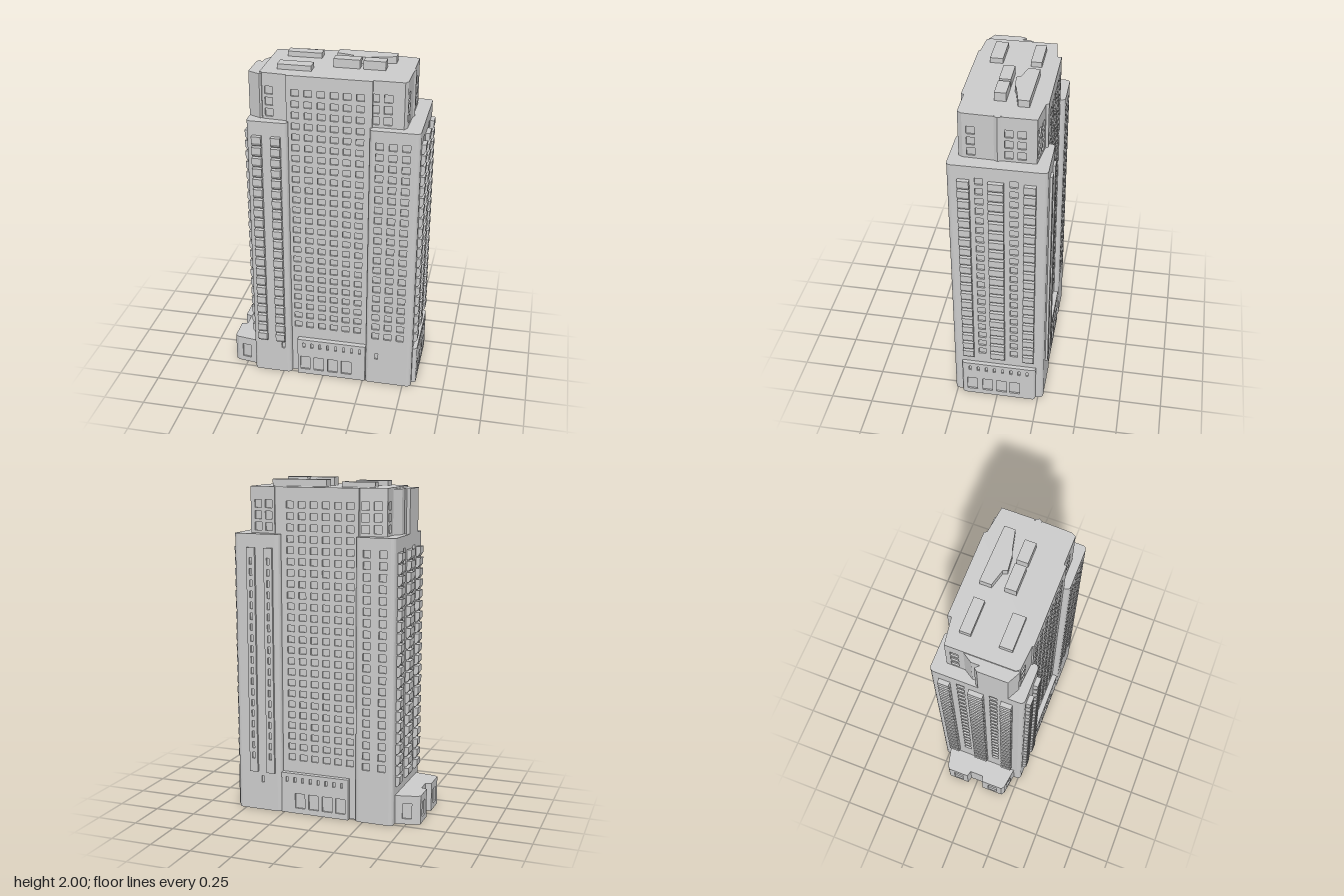
import * as THREE from 'three';
import { mergeGeometries } from 'three/addons/utils/BufferGeometryUtils.js';

const material = new THREE.MeshStandardMaterial({ color: 0xcccccc });
const INSET = 0.01; // window recess depth
const FLOOR = 0.0655; // storey height
const rows = (first, count) => Array.from({ length: count }, (_, i) => first + i * FLOOR);

// openings at every column (world x or z) and row of one side
const grid = (side, columns, ys, w = 0.044, h = 0.042) =>
  columns.flatMap((at) => ys.map((y) => ({ side, at, y, w, h })));

function rectPath(x0, x1, y0, y1, target) {
  target.moveTo(x0, y0);
  target.lineTo(x1, y0);
  target.lineTo(x1, y1);
  target.lineTo(x0, y1);
  target.closePath();
  return target;
}

// solid plan outline [x, z], raised from y0 to y1
function slab(points, y0, y1) {
  const shape = new THREE.Shape(points.map(([x, z]) => new THREE.Vector2(x, -z)));
  return new THREE.ExtrudeGeometry(shape, { depth: y1 - y0, bevelEnabled: false })
    .rotateX(-Math.PI / 2).translate(0, y0, 0);
}

// one wall panel from p to q, pierced by the openings that fall on it
function wall(p, q, y0, y1, openings) {
  const dx = q[0] - p[0], dz = q[1] - p[1], length = Math.hypot(dx, dz);
  const alongX = Math.abs(dx) > Math.abs(dz);
  const side = alongX ? (dx > 0 ? 'front' : 'back') : (dz < 0 ? 'right' : 'left');
  const axis = alongX ? 0 : 1;
  const shape = rectPath(0, length, y0, y1, new THREE.Shape());
  for (const o of openings) {
    const u = ((o.at - p[axis]) / (q[axis] - p[axis])) * length;
    if (o.side !== side || u - o.w / 2 < 0.002 || u + o.w / 2 > length - 0.002) continue;
    shape.holes.push(rectPath(u - o.w / 2, u + o.w / 2, o.y - o.h / 2, o.y + o.h / 2, new THREE.Path()));
  }
  return new THREE.ExtrudeGeometry(shape, { depth: 0.018, bevelEnabled: false })
    .translate(0, 0, -0.018).rotateY(Math.atan2(-dz, dx)).translate(p[0], 0, p[1]);
}

// a storey block: inset core plus wall panels round its outline
function block(name, points, y0, y1, openings = []) {
  const box = new THREE.Box2().setFromPoints(points.map((p) => new THREE.Vector2(...p)));
  const c = box.getCenter(new THREE.Vector2()), s = box.getSize(new THREE.Vector2());
  const core = points.map(([x, z]) => [
    c.x + (x - c.x) * (1 - 2 * INSET / s.x), c.y + (z - c.y) * (1 - 2 * INSET / s.y)]);
  const parts = [slab(core, y0, y1)];
  points.forEach((p, i) => parts.push(wall(p, points[(i + 1) % points.length], y0, y1, openings)));
  return named(name, mergeGeometries(parts));
}

function named(name, geometry) {
  const mesh = new THREE.Mesh(geometry, material);
  mesh.name = name;
  return mesh;
}

const rect = (x0, x1, z0, z1) => [[x0, z1], [x1, z1], [x1, z0], [x0, z0]];

// rectangle with rounded corners, same winding as rect
function rounded(x0, x1, z0, z1, r = 0.025, n = 4) {
  const centres = [[x0 + r, z1 - r], [x1 - r, z1 - r], [x1 - r, z0 + r], [x0 + r, z0 + r]];
  return centres.flatMap(([cx, cz], k) => Array.from({ length: n + 1 }, (_, i) => {
    const a = Math.PI - (k + i / n) * Math.PI / 2;
    return [cx + r * Math.cos(a), cz + r * Math.sin(a)];
  }));
}

// a stack of balconies with sloping undersides
function balconies(name, side, at, plane, width, y0, count, out = 0.027) {
  const profile = new THREE.Shape([[-0.005, 0], [out * 0.5, 0], [out, 0.02], [out, 0.058], [-0.005, 0.058]]
    .map((p) => new THREE.Vector2(...p)));
  const turn = { right: 0, front: -Math.PI / 2, left: Math.PI, back: Math.PI / 2 }[side];
  const alongX = side === 'front' || side === 'back';
  const parts = rows(y0, count).map((y) =>
    new THREE.ExtrudeGeometry(profile, { depth: width, bevelEnabled: false })
      .translate(0, 0, -width / 2).rotateY(turn)
      .translate(alongX ? at : plane, y, alongX ? plane : at));
  return named(name, mergeGeometries(parts));
}

export function createModel() {
  const group = new THREE.Group();
  group.name = 'towerBlock';
  const add = (...meshes) => group.add(...meshes);

  const middleColumns = [-0.16, -0.086, -0.012, 0.062, 0.135, 0.208];
  const allRows = rows(0.3435, 24), wingRows = rows(0.3435, 20), crownRows = rows(1.719, 3);
  const sideGaps = [0.09, -0.1];

  // central shaft and the two wings
  add(block('centralShaft', rect(-0.21, 0.275, -0.245, 0.23), 0, 1.95, [
    ...grid('front', middleColumns, allRows, 0.044, 0.038),
    ...grid('back', middleColumns, allRows, 0.044, 0.038)]));
  add(block('rightWing', rounded(-0.435, -0.2, -0.275, 0.265), 0, 1.68, [
    ...grid('left', sideGaps, wingRows),
    ...grid('back', [-0.365, -0.27], wingRows),
    ...grid('front', [-0.25], [0.195], 0.02, 0.04)]));
  add(block('leftWing', rounded(0.265, 0.55, -0.28, 0.265), 0, 1.68, [
    ...grid('right', sideGaps, wingRows),
    ...grid('front', [0.325, 0.4, 0.475], wingRows),
    ...grid('front', [0.335], [0.195], 0.018, 0.04),
    ...grid('back', [0.385], [0.195], 0.018, 0.04)]));

  // set-back crown ends
  add(block('crownRightEnd',
    [[-0.365, 0.19], [-0.35, 0.21], [-0.19, 0.222], [-0.19, -0.225], [-0.365, -0.2]], 1.68, 1.95, [
      ...grid('front', [-0.312], crownRows, 0.046, 0.046),
      ...grid('back', [-0.312, -0.24], crownRows, 0.046, 0.046),
      ...grid('left', [-0.15], crownRows, 0.046, 0.046)]));
  add(block('crownLeftEnd', [[0.255, 0.215], [0.45, 0.215], [0.465, 0.19], [0.47, 0.02], [0.48, 0],
    [0.47, -0.02], [0.47, -0.21], [0.31, -0.23], [0.3, -0.245], [0.255, -0.245]], 1.68, 1.95, [
    ...grid('front', [0.287, 0.36], crownRows, 0.046, 0.046),
    ...grid('back', [0.35, 0.42], crownRows, 0.046, 0.046),
    ...grid('right', [0.145, -0.06, -0.13], crownRows, 0.046, 0.046)]));
  add(named('crownFin', slab([[-0.435, 0.175], [-0.365, 0.21], [-0.35, 0.2], [-0.35, -0.1], [-0.365, -0.095],
    [-0.4, -0.04], [-0.4, 0.01], [-0.42, -0.015], [-0.435, 0.005]], 1.68, 1.94)));

  // street-level bases with shop windows and a row of slots
  const shops = [-0.113, -0.027, 0.06, 0.147];
  const slots = Array.from({ length: 8 }, (_, i) => -0.12 + i * 0.05);
  for (const [name, side, z0, z1] of [['frontBase', 'front', 0.2, 0.262], ['backBase', 'back', -0.275, -0.215]])
    add(block(name, rect(-0.16, 0.265, z0, z1), 0, 0.25, [
      ...grid(side, shops, [0.08], 0.062, 0.092), ...grid(side, slots, [0.21], 0.014, 0.032)]));
  add(block('leftBase', rounded(0.5, 0.575, -0.235, 0.215, 0.02), 0, 0.25, [
    ...grid('right', [0.152, 0.058, -0.027, -0.108], [0.08], 0.062, 0.092),
    ...grid('right', slots.map((s) => s - 0.065), [0.21], 0.014, 0.032)]));

  // low annex
  add(block('annex', [[-0.58, 0.185], [-0.56, 0.2], [-0.42, 0.22], [-0.42, -0.225], [-0.45, -0.225],
    [-0.56, -0.2], [-0.58, -0.185], [-0.58, -0.055], [-0.545, -0.045], [-0.545, 0.04], [-0.58, 0.05]], 0, 0.175, [
    ...grid('front', [-0.505], [0.08], 0.055, 0.092),
    ...grid('back', [-0.505], [0.08], 0.055, 0.092),
    ...grid('left', [0.12, -0.12], [0.08], 0.06, 0.092)]));

  // balcony stacks
  for (const x of [-0.373, -0.263]) add(balconies('frontBalconies', 'front', x, 0.265, 0.055, 0.228, 21));
  for (const [z, w] of [[0.172, 0.065], [-0.004, 0.085], [-0.188, 0.065]]) {
    add(balconies('leftBalconies', 'right', z, 0.55, w, 0.2935, 20, 0.025));
    add(balconies('rightBalconies', 'left', z - 0.003, -0.435, w, 0.228, 21));
  }

  // glazed strips up the back
  for (const x of [0.33, 0.44])
    add(block('backStrip', rect(x - 0.026, x + 0.026, -0.294, -0.25), 0.24, 1.6,
      grid('back', [x], wingRows.slice(0, 19), 0.03, 0.04)));

  // rooftop plant
  for (const [x0, x1, z0, z1, top] of [[-0.275, -0.075, -0.152, -0.09, 1.98], [-0.28, -0.085, 0.067, 0.14, 1.98],
    [0.02, 0.17, -0.02, 0.045, 2], [0.19, 0.315, -0.02, 0.045, 2]])
    add(named('roofUnit', slab(rect(x0, x1, z0, z1), 1.94, top)));
  add(named('roofCanopy', slab([[0.015, -0.09], [0.11, -0.065], [0.12, -0.04], [0.21, -0.05], [0.235, -0.06],
    [0.355, -0.088], [0.355, -0.15], [0.015, -0.157]], 1.94, 1.99)));
  return group;
}
